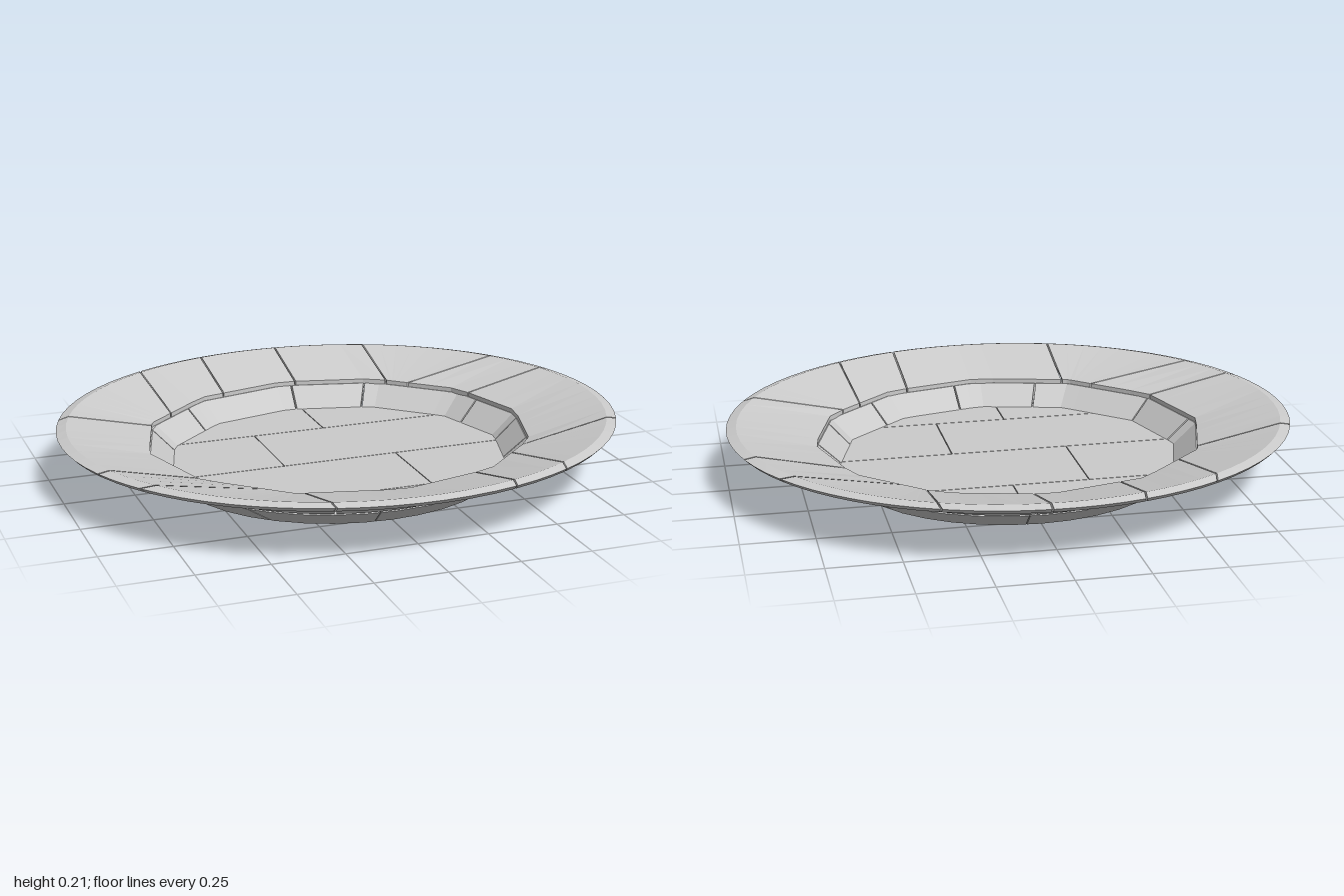
import * as THREE from 'three';
import { ConvexGeometry } from 'three/addons/geometries/ConvexGeometry.js';

const DEPTH = 0.91; // the plate is slightly oval
const TAU = Math.PI * 2;
const GAP = 0.003;
const material = new THREE.MeshStandardMaterial({ color: 0xcccccc, flatShading: true });

const ovalAngle = (x, z) => (Math.atan2(z / DEPTH, x) + TAU) % TAU;

// Radius factor of a 12-sided outline
function facet(a) {
  const step = TAU / 12;
  const m = ((a % step) + step) % step;
  return Math.cos(step / 2) / Math.cos(m - step / 2);
}

// Curved block: a profile of [radius, y, faceted] swept between two joints [inner angle, outer angle]
function curvedBlock(profile, start, end) {
  const radii = profile.map((p) => p[0]);
  const rMin = Math.min(...radii), rMax = Math.max(...radii);
  const steps = Math.max(1, Math.ceil((end[1] - start[1]) / 0.09));
  const n = profile.length, pos = [], index = [];
  for (let s = 0; s <= steps; s++) {
    for (const [r, y, faceted] of profile) {
      const f = (r - rMin) / (rMax - rMin);
      const a0 = THREE.MathUtils.lerp(start[0], start[1], f) + GAP / r;
      const a1 = THREE.MathUtils.lerp(end[0], end[1], f) - GAP / r;
      const a = THREE.MathUtils.lerp(a0, a1, s / steps);
      const k = faceted ? r * facet(a) : r;
      pos.push(k * Math.cos(a), y, DEPTH * k * Math.sin(a));
    }
  }
  for (let s = 0; s < steps; s++) {
    for (let j = 0; j < n; j++) {
      const k = (j + 1) % n, a = s * n, b = a + n;
      index.push(a + j, b + j, a + k, b + j, b + k, a + k);
    }
  }
  const last = steps * n;
  for (let j = 1; j < n - 1; j++) {
    index.push(0, j, j + 1, last, last + j + 1, last + j);
  }
  const geo = new THREE.BufferGeometry();
  geo.setAttribute('position', new THREE.Float32BufferAttribute(pos, 3));
  geo.setIndex(index);
  const flat = geo.toNonIndexed();
  flat.computeVertexNormals();
  return flat;
}

// Ring of blocks, one between each pair of neighbouring joints
function ring(name, profile, joints) {
  const group = new THREE.Group();
  group.name = name;
  joints.forEach((joint, i) => {
    const next = i + 1 < joints.length ? joints[i + 1] : joints[0].map((a) => a + TAU);
    const mesh = new THREE.Mesh(curvedBlock(profile, joint, next), material);
    mesh.name = name + 'Block';
    group.add(mesh);
  });
  return group;
}

// Keep the part of a convex outline where sign * point[axis] <= sign * limit
function clip(points, axis, limit, sign) {
  const out = [];
  points.forEach((p, i) => {
    const q = points[(i + 1) % points.length];
    const dp = sign * (p[axis] - limit), dq = sign * (q[axis] - limit);
    if (dp <= 0) out.push(p);
    if (dp * dq < 0) {
      const t = dp / (dp - dq);
      out.push([p[0] + (q[0] - p[0]) * t, p[1] + (q[1] - p[1]) * t]);
    }
  });
  return out;
}

// Floor slab: a rectangular cut out of the tapered oval base
function floorSlab(x0, x1, z0, z1) {
  const points = [];
  for (const [r, y] of [[0.575, 0], [0.635, 0.052], [0.62, 0.058]]) {
    let outline = Array.from({ length: 36 }, (_, i) => {
      const a = (i / 36) * TAU;
      return [r * Math.cos(a), r * DEPTH * Math.sin(a)];
    });
    outline = clip(outline, 0, x0 + GAP / 2, -1);
    outline = clip(outline, 0, x1 - GAP / 2, 1);
    outline = clip(outline, 1, z0 + GAP / 2, -1);
    outline = clip(outline, 1, z1 - GAP / 2, 1);
    points.push(...outline.map(([x, z]) => new THREE.Vector3(x, y, z)));
  }
  return new ConvexGeometry(points);
}

export function createModel() {
  const plate = new THREE.Group();
  plate.name = 'plate';

  // Sloping rim; its joints run square to the plate: inner x, z then outer x, z
  const rimJoints = [
    [0.55, 0.36, 0.91, 0.36], [0.51, 0.45, 0.51, 0.78], [0.29, 0.58, 0.29, 0.87],
    [-0.32, 0.55, -0.32, 0.86], [-0.42, 0.48, -0.85, 0.48], [-0.6, 0.3, -0.94, 0.3],
    [-0.62, -0.29, -0.95, -0.29], [-0.53, -0.42, -0.53, -0.78], [-0.26, -0.58, -0.26, -0.88],
    [0.05, -0.63, 0.05, -0.91], [0.39, -0.52, 0.39, -0.84], [0.47, -0.47, 0.86, -0.47],
    [0.63, -0.26, 0.95, -0.26],
  ].map(([xi, zi, xo, zo]) => [ovalAngle(xi, zi), ovalAngle(xo, zo)]);
  plate.add(ring('rim', [
    [0.695, 0.148, true], [0.965, 0.214], [1, 0.205],
    [0.985, 0.19], [0.76, 0.135], [0.695, 0.13, true],
  ], rimJoints));

  // Slanted wall between floor and rim
  const wallJoints = [
    [0.63, 0.04], [0.53, 0.22], [0.37, 0.4], [0.08, 0.53], [-0.2, 0.52], [-0.52, 0.27],
    [-0.6, 0.04], [-0.52, -0.24], [-0.37, -0.42], [0.03, -0.55], [0.28, -0.5], [0.58, -0.19],
  ].map(([x, z]) => [ovalAngle(x, z), ovalAngle(x, z)]);
  plate.add(ring('wall', [
    [0.61, 0.056, true], [0.692, 0.132, true], [0.715, 0.132],
    [0.71, 0.112], [0.645, 0.06], [0.63, 0.055],
  ], wallJoints));

  // Floor of staggered slabs
  const floor = new THREE.Group();
  floor.name = 'floor';
  const rows = [
    [-1, -0.3, 0.05], [-0.3, 0.05, -0.22], [0.05, 0.39, 0.2], [0.39, 1, -0.06],
  ];
  for (const [z0, z1, split] of rows) {
    for (const [x0, x1] of [[-1, split], [split, 1]]) {
      const slab = new THREE.Mesh(floorSlab(x0, x1, z0, z1), material);
      slab.name = 'floorSlab';
      floor.add(slab);
    }
  }
  plate.add(floor);
  return plate;
}
